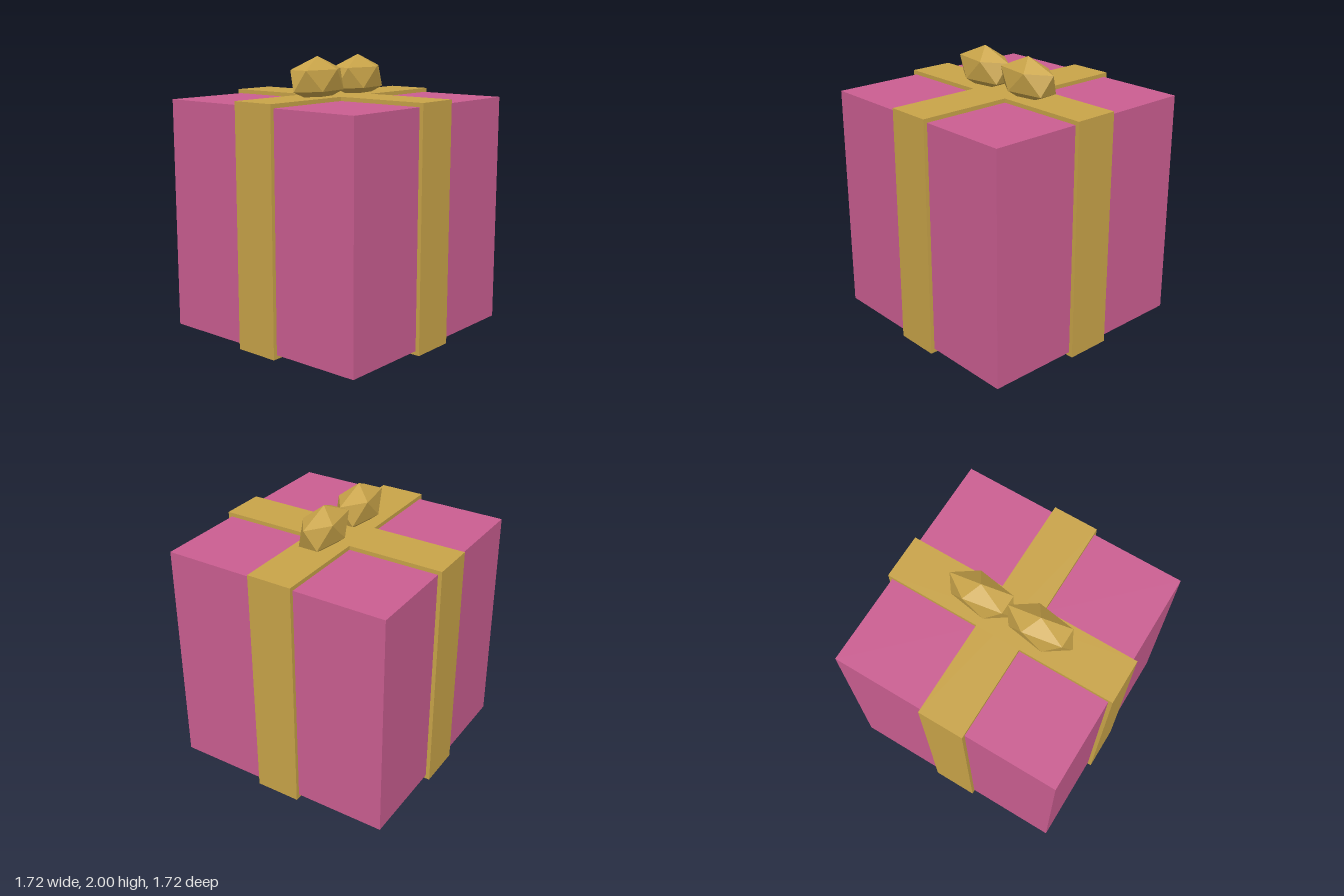
import * as THREE from 'three';

export function createModel() {
  const pink = new THREE.MeshStandardMaterial({ color: 0xcb5e91 });
  pink.name = 'pink paper';
  const gold = new THREE.MeshStandardMaterial({ color: 0xc9a449 });
  gold.name = 'gold ribbon';

  const model = new THREE.Group();
  model.name = 'giftBox';
  const add = (name, geometry, material, x, y, z) => {
    const mesh = new THREE.Mesh(geometry, material);
    mesh.name = name;
    mesh.position.set(x, y, z);
    model.add(mesh);
  };

  // Wrapped box, with ribbons standing slightly proud on every side
  const mid = 0.861;
  add('box', new THREE.BoxGeometry(1.664, 1.664, 1.664), pink, 0, mid, 0);
  add('ribbonAcross', new THREE.BoxGeometry(1.722, 1.722, 0.33), gold, 0, mid, 0);
  add('ribbonFrontToBack', new THREE.BoxGeometry(0.33, 1.722, 1.722), gold, 0, mid, 0);

  // Two faceted bow loops: icosahedra standing on a vertex, stretched along x
  const tilt = Math.atan(2 / (1 + Math.sqrt(5)));
  const loop = new THREE.IcosahedronGeometry(1, 0)
    .rotateZ(-tilt)
    .scale(0.274, 0.165, 0.137);
  add('bowLoopRight', loop, gold, -0.224, 1.835, 0);
  add('bowLoopLeft', loop, gold, 0.22, 1.835, 0);

  return model;
}
